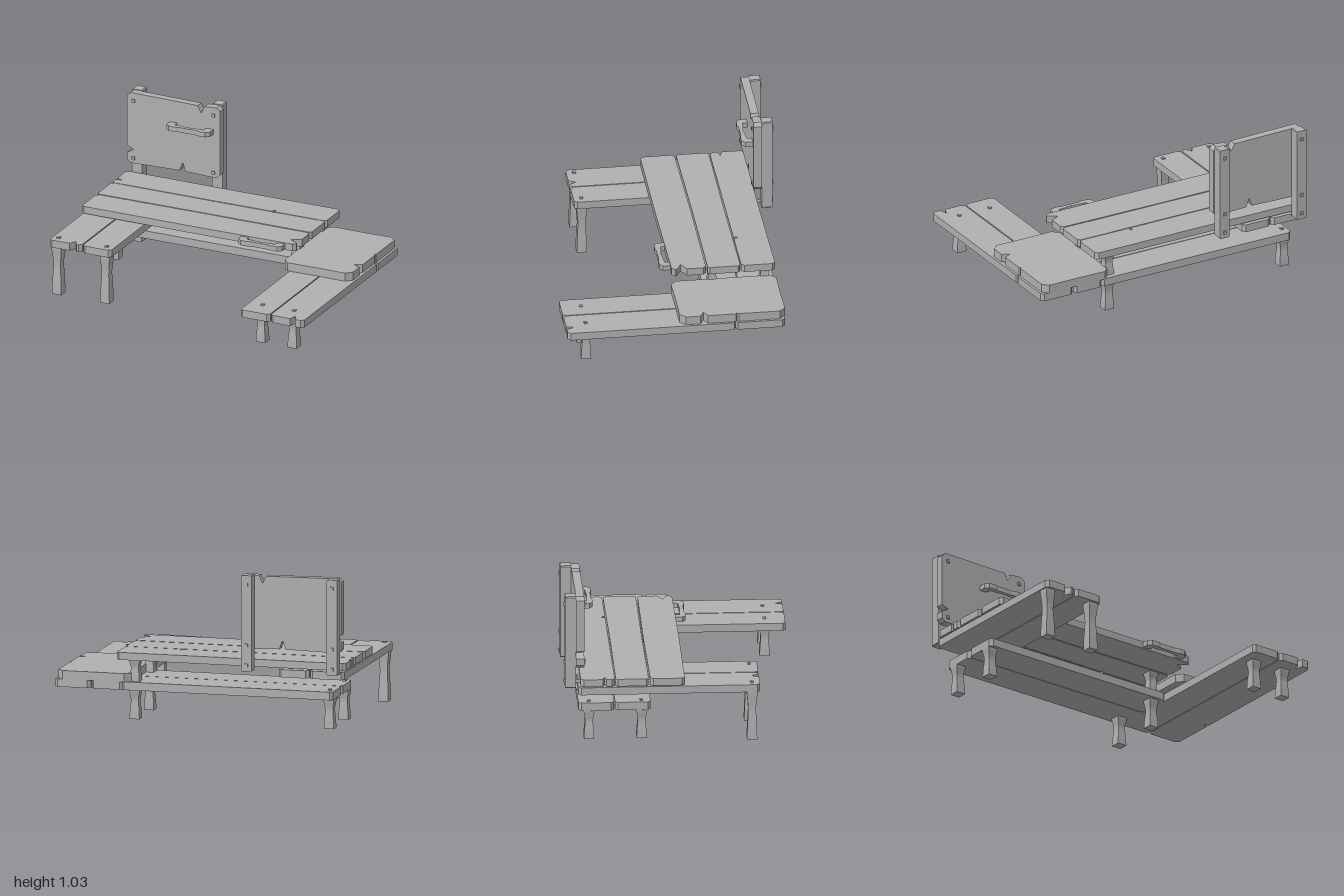
import * as THREE from 'three';

const grey = new THREE.MeshStandardMaterial({ color: 0xb0b0b0 });
grey.name = 'weathered grey wood';

// Rectangle outline with cut corners and V notches.
// notch: [side, position, halfWidth, depth], sides: a0, a1 (short ends), b0, b1
function outline(a0, b0, a1, b1, notches = [], c = 0.018, bow = 0) {
  const of = (s, dir) => notches.filter(n => n[0] === s).sort((p, q) => (p[1] - q[1]) * dir);
  const pts = [[a0 + c, b0]];
  const mid = (a0 + a1) / 2;
  const along = (s, dir, fixed, inward, swap) => {
    for (const [, p, w, d] of of(s, dir)) {
      for (const [q, e] of [[p - w * dir, 0], [p, d], [p + w * dir, 0]]) {
        pts.push(swap ? [fixed + inward * e, q] : [q, fixed + inward * e]);
      }
    }
  };
  if (bow && !of('b0', 1).length) pts.push([mid, b0 + bow]);
  along('b0', 1, b0, 1, false);
  pts.push([a1 - c, b0], [a1, b0 + c]);
  along('a1', 1, a1, -1, true);
  pts.push([a1, b1 - c], [a1 - c, b1]);
  if (bow && !of('b1', 1).length) pts.push([mid, b1 - bow]);
  along('b1', -1, b1, -1, false);
  pts.push([a0 + c, b1], [a0, b1 - c]);
  along('a0', -1, a0, 1, true);
  pts.push([a0, b0 + c]);
  return pts;
}

function extrude(pts, depth) {
  const shape = new THREE.Shape(pts.map(p => new THREE.Vector2(p[0], p[1])));
  return new THREE.ExtrudeGeometry(shape, { depth, bevelEnabled: false });
}

function add(parent, name, geometry, x = 0, y = 0, z = 0) {
  const mesh = new THREE.Mesh(geometry, grey);
  mesh.name = name;
  mesh.position.set(x, y, z);
  parent.add(mesh);
  return mesh;
}

// Lying plank whose outline is given in x and z
function plank(parent, name, x0, z0, x1, z1, y, h, notches, c, bow) {
  const pts = outline(x0, z0, x1, z1, notches, c, bow).map(([x, z]) => [x, -z]).reverse();
  add(parent, name, extrude(pts, h).rotateX(-Math.PI / 2), 0, y, 0);
}

// Square leg with a carved waist, from cross-sections
function leg(parent, name, x, z, y0, y1) {
  const h = y1 - y0;
  const half = [0.034, 0.032, 0.026, 0.027, 0.035, 0.036];
  const at = [0, 0.25, 0.58, 0.7, 0.93, 1];
  const g = new THREE.BoxGeometry(1, 1, 1, 1, 5, 1).toNonIndexed();
  const p = g.attributes.position;
  for (let i = 0; i < p.count; i++) {
    const k = Math.round((p.getY(i) + 0.5) * 5);
    p.setXYZ(i, p.getX(i) * 2 * half[k], at[k] * h, p.getZ(i) * 2 * half[k]);
  }
  g.computeVertexNormals();
  add(parent, name, g, x, y0, z);
}

function peg(parent, x, y, z, w = 0.022, h = 0.022, d = 0.022) {
  add(parent, 'peg', new THREE.BoxGeometry(w, h, d), x, y, z);
}

// Carved grip, projecting toward +z from its origin
function handle(parent, name, x, y, z) {
  const half = [[0, 0.042], [0.07, 0.034], [0.105, 0.034], [0.108, 0], [0.16, 0],
    [0.16, 0.05], [0.135, 0.072], [0.09, 0.074], [0.06, 0.066], [0, 0.066]];
  const pts = [...half, ...half.slice(1, -1).reverse().map(([a, b]) => [-a, b])];
  add(parent, name, extrude(pts.map(([a, b]) => [a, -b]).reverse(), 0.034).rotateX(-Math.PI / 2), x, y, z);
}

function part(root, name) {
  const g = new THREE.Group();
  g.name = name;
  root.add(g);
  return g;
}

export function createModel() {
  const root = new THREE.Group();
  root.name = 'plankTableAndBenches';

  // Three-plank table top with end handle and posts
  const table = part(root, 'table');
  plank(table, 'tablePlankBack', -1, -0.67, 0.578, -0.443, 0.4, 0.05,
    [['a0', -0.51, 0.012, 0.05], ['b1', 0.19, 0.012, 0.035]], 0.02, 0.004);
  plank(table, 'tablePlankMiddle', -1, -0.437, 0.578, -0.218, 0.4, 0.05, [], 0.015, 0.003);
  plank(table, 'tablePlankFront', -1, -0.208, 0.575, 0.022, 0.4, 0.05,
    [['a1', -0.045, 0.035, 0.065]], 0.02, -0.004);
  handle(table, 'tableHandle', 0.34, 0.408, 0.02);
  for (const z of [-0.26, -0.61]) leg(table, 'tablePost', 0.46, z, 0.25, 0.4);

  // Tall bench under the table's right end
  const tall = part(root, 'tallBench');
  plank(tall, 'tallBenchPlankOuter', -0.995, -0.685, -0.76, 0.523, 0.34, 0.052,
    [['b1', -0.82, 0.025, 0.05]], 0.02);
  plank(tall, 'tallBenchPlankInner', -0.752, -0.685, -0.542, 0.523, 0.34, 0.052, [], 0.02);
  for (const x of [-0.95, -0.595]) {
    leg(tall, 'tallBenchLeg', x, 0.47, 0, 0.34);
    peg(tall, x, 0.39, 0.47);
  }

  // Low L-shaped bench
  const low = part(root, 'lowBench');
  plank(low, 'lowBenchPlankBack', -0.915, -0.68, 0.54, -0.443, 0.2, 0.055, [], 0.02);
  plank(low, 'lowBenchPlankFront', -0.915, -0.437, 0.54, -0.2, 0.2, 0.055, [], 0.02);
  plank(low, 'lowBenchArmInner', 0.535, -0.68, 0.748, 0.775, 0.2, 0.053, [], 0.018);
  plank(low, 'lowBenchArmOuter', 0.756, -0.68, 1, 0.775, 0.2, 0.053,
    [['b1', 0.92, 0.018, 0.055], ['a1', -0.35, 0.012, 0.03]], 0.02);
  for (const x of [-0.88, 0.46]) {
    for (const z of [-0.26, -0.61]) {
      leg(low, 'lowBenchLeg', x, z, 0, 0.2);
      if (x < 0) peg(low, x, 0.253, z);
    }
  }
  for (const x of [0.635, 0.868]) {
    leg(low, 'lowBenchLeg', x, 0.64, 0, 0.2);
    peg(low, x, 0.25, 0.64);
  }

  // Wide slab lying on the bench corner
  plank(root, 'cornerSlab', 0.48, -0.685, 0.983, 0.022, 0.253, 0.058,
    [['a1', -0.14, 0.025, 0.05], ['a1', -0.36, 0.01, 0.012]], 0.04, 0.003);

  // Upright board on two posts
  const back = part(root, 'backrest');
  const board = outline(-0.985, 0.522, -0.302, 1.028,
    [['b0', -0.577, 0.022, 0.06], ['b1', -0.44, 0.025, 0.05], ['a0', 0.62, 0.025, 0.05]], 0.025);
  const sag = board.map(([x, y]) => {
    const t = (x + 0.6435) / 0.3415;
    return [x, y + (y > 0.9 ? -0.012 : 0.01) * (1 - t * t)];
  });
  add(back, 'backBoard', extrude(sag, 0.055), 0, 0, -0.7);
  for (const x of [-0.938, -0.348]) {
    add(back, 'backPost', extrude(outline(x - 0.037, 0.383, x + 0.037, 1.03, [], 0.006), 0.072), 0, 0, -0.772);
    for (const y of [0.97, 0.56]) peg(back, x, y, -0.708, 0.022, 0.022, 0.145);
    peg(back, x, 0.425, -0.71, 0.022, 0.022, 0.14);
  }
  handle(back, 'boardHandle', -0.51, 0.834, -0.645);

  return root;
}
